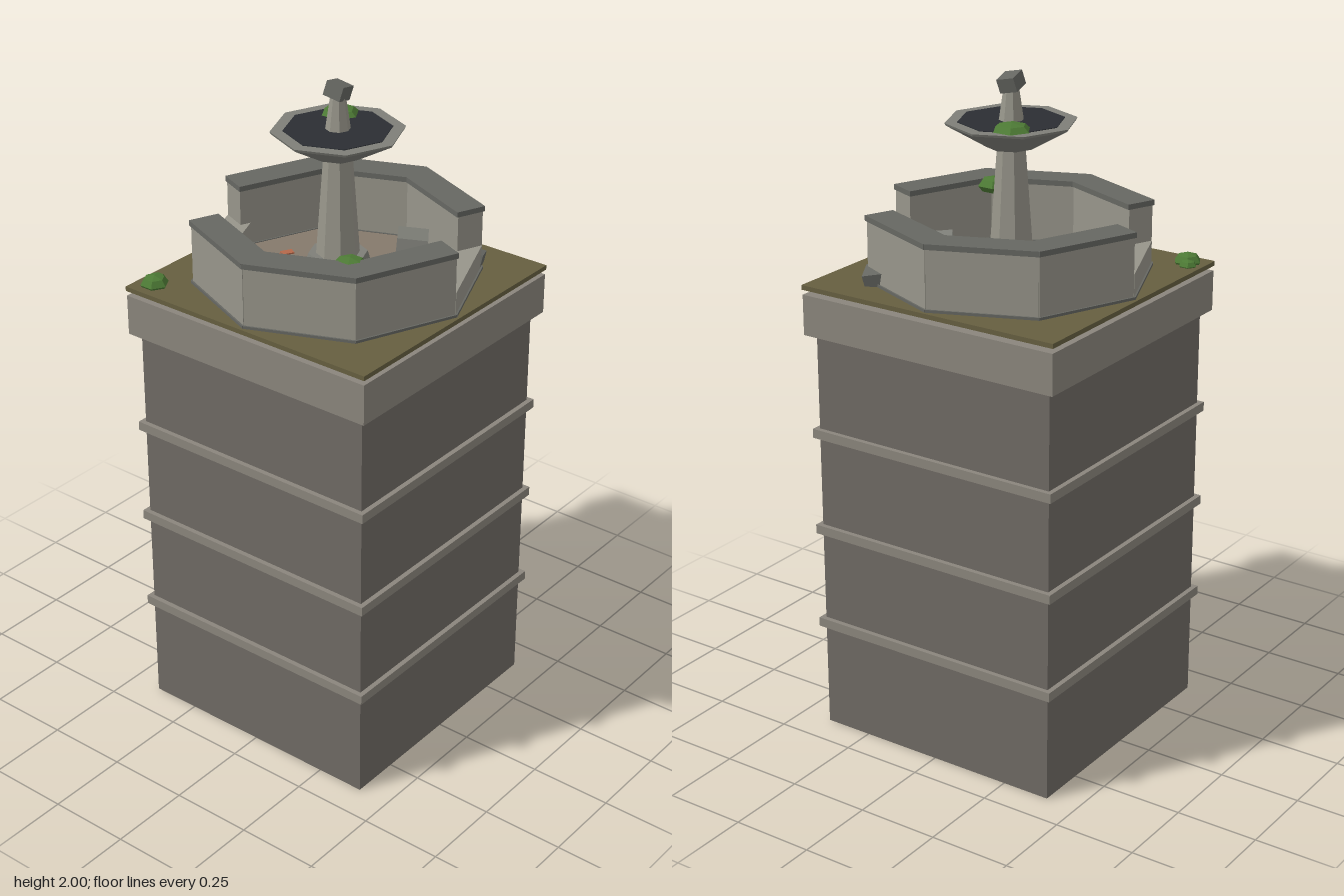
import * as THREE from 'three';

const mat = (color) => new THREE.MeshStandardMaterial({ color, flatShading: true });
const M = {
  tower: mat(0x6f6a64), trim: mat(0x8a857c), turf: mat(0x665f40), paving: mat(0x85796b),
  wall: mat(0x97958a), coping: mat(0x666762), water: mat(0x2b2e33), stone: mat(0x7e7f78),
  crack: mat(0x2f3236), bush: mat(0x4d7a35), moss: mat(0x64843a), rust: mat(0xb5684a), ochre: mat(0xa67c3a),
};

export function createModel() {
  const model = new THREE.Group();
  model.name = 'ruinedFountainTower';

  const add = (name, geo, material, x, y, z, rx = 0, ry = 0, rz = 0) => {
    const m = new THREE.Mesh(geo, material);
    m.name = name;
    m.position.set(x, y, z);
    m.rotation.set(rx, ry, rz);
    model.add(m);
    return m;
  };
  const box = (name, size, material, pos, rot = []) =>
    add(name, new THREE.BoxGeometry(...size), material, ...pos, ...rot);
  // eight-sided tapered drum between two heights
  const drum = (name, rTop, rBottom, y0, y1, material) =>
    add(name, new THREE.CylinderGeometry(rTop, rBottom, y1 - y0, 8), material, 0, (y0 + y1) / 2, 0);

  // tower block with string courses and cornice
  box('towerBlock', [0.8, 1.26, 0.8], M.tower, [0, 0.63, 0]);
  for (const y of [0.34, 0.647, 0.953]) box('stringCourse', [0.83, 0.028, 0.83], M.trim, [0, y, 0]);
  box('cornice', [0.852, 0.122, 0.852], M.trim, [0, 1.319, 0]);

  // turf slab, raised slightly clear of the cornice, and the courtyard paving
  box('turfSlab', [0.856, 0.014, 0.856], M.turf, [0, 1.402, 0]);
  drum('paving', 0.37, 0.37, 1.405, 1.415, M.paving);

  // octagonal wall: six full sides with coping, two collapsed sides
  for (let k = 0; k < 8; k++) {
    const a = ((k + 0.5) * Math.PI) / 4;
    const low = k === 1 || k === 5;
    const h = low ? 0.075 : 0.185;
    const x = 0.342 * Math.cos(a), z = 0.342 * Math.sin(a);
    box(low ? 'collapsedWall' : 'wall', [0.082, h, 0.315], M.wall, [x, 1.407 + h / 2, z], [0, -a, 0]);
    box('wallFooting', [0.092, 0.01, 0.321], M.coping, [x, 1.412, z], [0, -a, 0]);
    if (!low) box('coping', [0.092, 0.016, 0.321], M.coping, [x, 1.597, z], [0, -a, 0]);
  }

  // fountain: plinth, column, bowl, water, broken finial
  drum('plinth', 0.085, 0.107, 1.41, 1.485, M.stone);
  drum('column', 0.04, 0.063, 1.48, 1.8, M.wall);
  drum('bowl', 0.187, 0.07, 1.785, 1.853, M.stone);
  drum('bowlRim', 0.19, 0.187, 1.853, 1.86, M.stone);
  drum('water', 0.154, 0.154, 1.852, 1.862, M.water);
  drum('finialStem', 0.022, 0.036, 1.86, 1.955, M.wall);
  box('brokenFinial', [0.058, 0.042, 0.055], M.coping, [0.005, 1.971, -0.003], [0.2, 0.1, -0.25]);

  // cracks in the paving: x, z, length, heading
  for (const [x, z, length, heading] of [
    [0.19, -0.105, 0.17, 0.83], [-0.07, 0.19, 0.14, Math.PI / 2],
    [-0.19, -0.117, 0.14, -0.24], [0.09, 0.17, 0.12, -0.95],
  ]) box('crack', [length, 0.006, 0.014], M.crack, [x, 1.415, z], [0, heading, 0]);

  // fallen masonry
  box('fallenBlock', [0.145, 0.08, 0.088], M.stone, [0.163, 1.48, 0.14], [0.1, 0.6, -0.25]);
  box('wallRubble', [0.07, 0.06, 0.06], M.coping, [0.295, 1.425, 0.26], [0.2, 0.4, -0.3]);
  box('smallRubble', [0.06, 0.05, 0.03], M.coping, [-0.2, 1.412, -0.137], [0.3, -0.15, 0.2]);

  // fallen leaves: x, z, heading, colour
  for (const [x, z, heading, material] of [
    [-0.025, -0.208, 0.6, M.rust], [0.015, -0.2, -0.5, M.rust], [-0.245, -0.047, 1.2, M.rust],
    [-0.2, -0.036, -0.2, M.ochre], [-0.23, 0.032, 0.5, M.ochre],
  ]) box('leaf', [0.036, 0.004, 0.024], material, [x, 1.418, z], [0, heading, 0]);

  // flattened six-sided bushes: x, y, z, radius, height scale, material
  for (const [x, y, z, r, s, material] of [
    [0.092, 1.86, -0.065, 0.058, 0.38, M.bush], [-0.215, 1.587, 0.212, 0.05, 0.5, M.bush],
    [-0.37, 1.415, -0.37, 0.042, 0.6, M.bush], [-0.342, 1.412, -0.387, 0.028, 0.6, M.bush],
    [-0.123, 1.408, -0.19, 0.077, 0.2, M.moss],
  ]) {
    const bush = add('bush', new THREE.SphereGeometry(r, 6, 4), material, x, y, z, 0, Math.PI / 6, 0);
    bush.scale.y = s;
  }
  return model;
}
